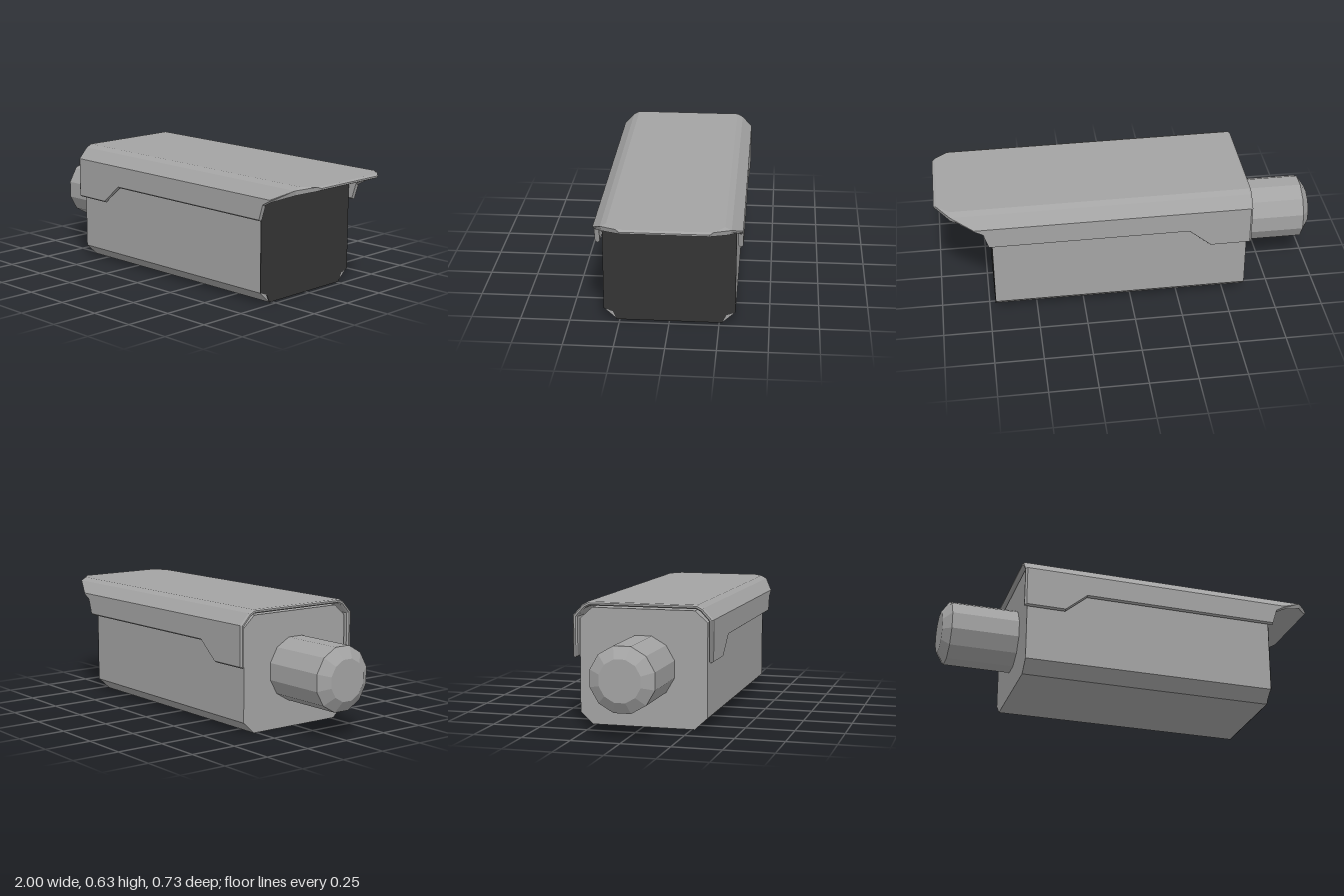
import * as THREE from 'three';

const grey = new THREE.MeshStandardMaterial({ color: 0xa3a3a3 });
grey.name = 'housing grey';
const dark = new THREE.MeshStandardMaterial({ color: 0x343434 });
dark.name = 'lens panel dark';

// Split the faces so that every facet gets its own normal
function facet(geometry) {
  const g = geometry.index ? geometry.toNonIndexed() : geometry;
  g.computeVertexNormals();
  return g;
}

function part(name, geometry, material) {
  const mesh = new THREE.Mesh(facet(geometry), material);
  mesh.name = name;
  return mesh;
}

// Extrude one mirrored (z, y) half outline along x
function slab(half, x0, x1) {
  const pts = [...half, ...half.map(([z, y]) => [-z, y]).reverse()];
  const shape = new THREE.Shape(pts.map(([z, y]) => new THREE.Vector2(z, y)));
  const g = new THREE.ExtrudeGeometry(shape, { depth: x1 - x0, bevelEnabled: false });
  return g.rotateY(Math.PI / 2).translate(x0, 0, 0);
}

// Half profiles of the sunshield, from side wall to top
const OUTER = [[0.364, 0.34], [0.364, 0.555], [0.312, 0.611], [0.282, 0.627]];
const INNER = [[0.34, 0.34], [0.34, 0.548], [0.298, 0.594], [0.275, 0.606]];

// Trim a half profile to a bottom height and a maximum half width
function trim(profile, bottom, zMax) {
  const heightAt = (z) => {
    for (let i = 1; i < profile.length - 1; i++) {
      const [za, ya] = profile[i], [zb, yb] = profile[i + 1];
      if (z <= za && z >= zb) return ya + (yb - ya) * (za - z) / (za - zb);
    }
    return profile[3][1];
  };
  return profile.map(([z, y], i) => {
    if (z > zMax) return [zMax, heightAt(zMax)];
    return [z, i === 0 ? bottom : y];
  });
}

// Sunshield: sections lofted along x as [x, bottom, half width, edge pinch]
function sunshield() {
  const stations = [
    [-0.63, 0.348, 1, 0.3], [-0.62, 0.348, 1, 0], [-0.415, 0.348, 1, 0],
    [-0.3, 0.445, 1, 0], [0.735, 0.445, 1, 0], [0.76, 0.525, 1, 0],
    [0.805, 0.55, 1, 0], [0.92, 0.6, 0.312, 0], [0.985, 0.6, 0.23, 0],
    [1, 0.6, 0.215, 0.3],
  ];
  const sections = stations.map(([x, bottom, zMax, pinch]) => {
    const drop = 0.008 * (x + 0.63) / 1.63;
    const o = trim(OUTER, bottom, zMax);
    const n = trim(INNER, bottom, zMax - 0.008);
    const mix = (a, b) => a.map((p, i) => p.map((v, k) => v + (b[i][k] - v) * pinch));
    const tip = [(o[0][0] + n[0][0]) / 2, (o[0][1] + n[0][1]) / 2 - (zMax === 1 ? 0.008 : 0)];
    const whole = (half) => {
      const h = [tip, ...half];
      return [...h, ...h.map(([z, y]) => [-z, y]).reverse()].map(([z, y]) => [x, y - drop, z]);
    };
    return { outer: whole(mix(o, n)), inner: whole(mix(n, o)) };
  });

  const pos = [];
  const quad = (a, b, c, d) => pos.push(...a, ...b, ...c, ...a, ...c, ...d);
  const first = sections[0], last = sections[sections.length - 1];
  for (let i = 0; i < first.outer.length - 1; i++) {
    for (let s = 0; s < sections.length - 1; s++) {
      const p = sections[s], q = sections[s + 1];
      quad(p.outer[i], q.outer[i], q.outer[i + 1], p.outer[i + 1]);
      quad(p.inner[i], p.inner[i + 1], q.inner[i + 1], q.inner[i]);
    }
    quad(first.outer[i], first.outer[i + 1], first.inner[i + 1], first.inner[i]);
    quad(last.outer[i], last.inner[i], last.inner[i + 1], last.outer[i + 1]);
  }
  const g = new THREE.BufferGeometry();
  g.setAttribute('position', new THREE.Float32BufferAttribute(pos, 3));
  return g;
}

export function createModel() {
  const group = new THREE.Group();
  group.name = 'surveillanceCamera';

  // Chamfered housing
  const body = [[0.266, 0], [0.331, 0.06], [0.331, 0.538], [0.266, 0.596]];
  group.add(part('housing', slab(body, -0.61, 0.716), grey));

  // Dark front panel with notched corners
  const panel = [[0.266, 0], [0.285, 0.043], [0.331, 0.06],
    [0.331, 0.538], [0.285, 0.555], [0.266, 0.596]];
  group.add(part('frontPanel', slab(panel, 0.716, 0.72), dark));

  group.add(part('sunshield', sunshield(), grey));

  // Twelve-sided rear connector with a bevelled end
  const profile = [[0.168, 0], [0.168, 0.36], [0.108, 0.4], [0, 0.4]]
    .map(([r, h]) => new THREE.Vector2(r, h));
  const rear = new THREE.LatheGeometry(profile, 12, Math.PI / 12);
  rear.rotateZ(Math.PI / 2).translate(-0.6, 0.3, 0);
  group.add(part('rearConnector', rear, grey));

  return group;
}
